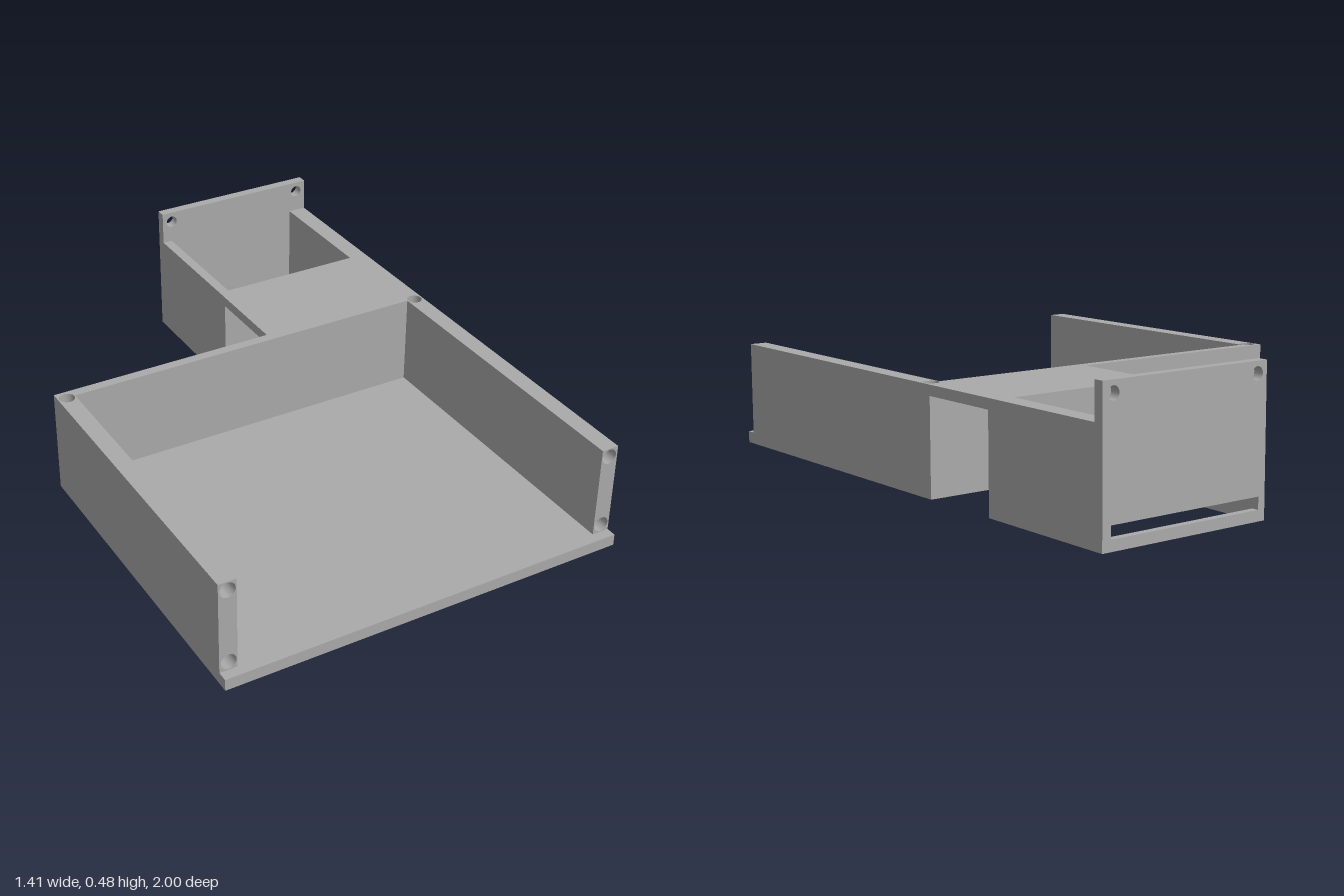
import * as THREE from 'three';

const grey = new THREE.MeshStandardMaterial({ color: 0xaaaaaa });
grey.name = 'plain grey';

export function createModel() {
  const model = new THREE.Group();
  model.name = 'trayWithRearBox';

  const add = (name, geometry) => {
    const mesh = new THREE.Mesh(geometry, grey);
    mesh.name = name;
    model.add(mesh);
    return mesh;
  };

  // Block given by its limits on each axis
  const block = (name, x0, x1, y0, y1, z0, z1) =>
    add(name, new THREE.BoxGeometry(x1 - x0, y1 - y0, z1 - z0)
      .translate((x0 + x1) / 2, (y0 + y1) / 2, (z0 + z1) / 2));

  const rectangle = (Type, a0, a1, b0, b1) =>
    new Type([[a0, b0], [a1, b0], [a1, b1], [a0, b1]].map(p => new THREE.Vector2(...p)));
  const round = (a, b, r) => new THREE.Path().absarc(a, b, r, 0, Math.PI * 2, true);
  const extrude = (shape, depth) =>
    new THREE.ExtrudeGeometry(shape, { depth, bevelEnabled: false, curveSegments: 24 });

  // Shape in x and y, pushed along z
  const alongZ = (name, shape, z0, z1) => add(name, extrude(shape, z1 - z0).translate(0, 0, z0));
  // Shape in x and -z, pushed along y
  const alongY = (name, shape, y0, y1) =>
    add(name, extrude(shape, y1 - y0).rotateX(-Math.PI / 2).translate(0, y0, 0));

  // Tray
  block('trayFloor', -0.705, 0.705, 0, 0.04, -0.17, 1);
  block('trayBackWall', -0.645, 0.645, 0.04, 0.36, -0.17, -0.135);

  for (const side of [-1, 1]) {
    const label = side > 0 ? 'left' : 'right';
    const x0 = side > 0 ? 0.645 : -0.705;
    const x1 = x0 + 0.06;
    const holeX = side * 0.674;

    // Front end with two blind screw holes
    const end = rectangle(THREE.Shape, x0, x1, 0.04, 0.36);
    end.holes.push(round(holeX, 0.07, 0.026), round(holeX, 0.33, 0.026));
    alongZ(label + 'WallFrontEnd', end, 0.86, 0.965);

    block(label + 'Wall', x0, x1, 0.04, 0.36, -0.09, 0.86);

    // Rear corner with a blind screw hole from above
    block(label + 'RearCorner', x0, x1, 0.04, 0.26, -0.17, -0.09);
    const corner = rectangle(THREE.Shape, x0, x1, 0.09, 0.17);
    corner.holes.push(round(holeX, 0.133, 0.026));
    alongY(label + 'RearCornerTop', corner, 0.26, 0.36);
  }

  // Bridge from the tray to the rear box
  block('bridge', 0.09, 0.705, 0.325, 0.36, -0.475, -0.17);

  // Rear box: lower frame, slot layer open to the back, upper walls
  const lower = rectangle(THREE.Shape, 0.09, 0.705, 0.475, 1);
  lower.holes.push(rectangle(THREE.Path, 0.115, 0.66, 0.5, 0.975));
  alongY('boxLowerFrame', lower, 0, 0.035);

  const slot = new THREE.Shape([
    [0.09, 0.475], [0.705, 0.475], [0.705, 1], [0.675, 1],
    [0.675, 0.495], [0.115, 0.495], [0.115, 1], [0.09, 1],
  ].map(p => new THREE.Vector2(...p)));
  alongY('boxSlotLayer', slot, 0.035, 0.075);

  const upper = rectangle(THREE.Shape, 0.09, 0.705, 0.475, 1);
  upper.holes.push(rectangle(THREE.Path, 0.125, 0.64, 0.515, 0.965));
  alongY('boxWalls', upper, 0.075, 0.36);

  // Upright rear plate with two through holes
  const plate = rectangle(THREE.Shape, 0.09, 0.705, 0.36, 0.477);
  plate.holes.push(round(0.127, 0.44, 0.021), round(0.667, 0.44, 0.021));
  alongZ('rearPlate', plate, -1, -0.965);

  return model;
}
